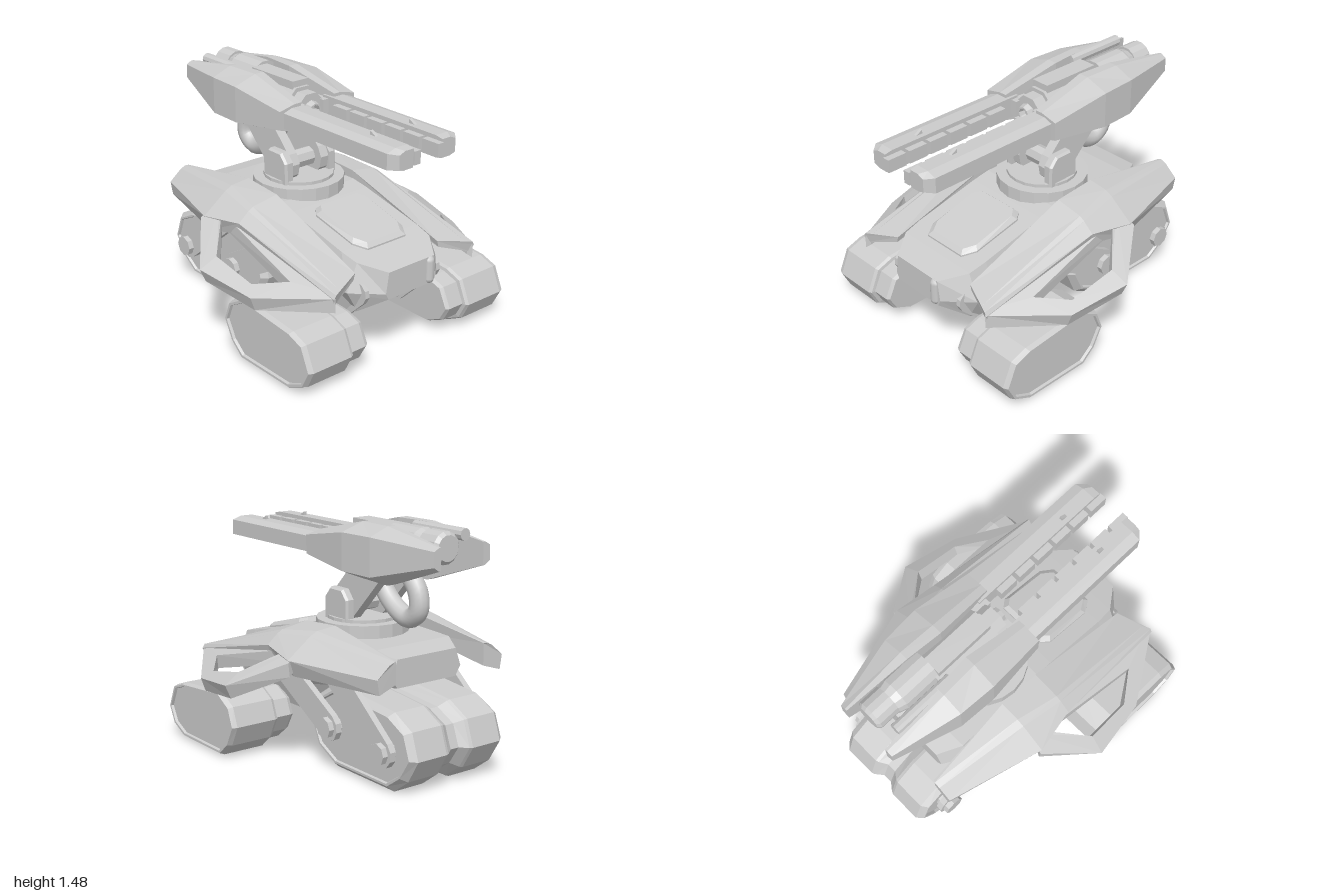
import * as THREE from 'three';

const flat = new THREE.MeshStandardMaterial({ color: 0xcccccc, flatShading: true });
const smooth = new THREE.MeshStandardMaterial({ color: 0xcccccc });
const open = new THREE.MeshStandardMaterial({ color: 0xcccccc, flatShading: true, side: THREE.DoubleSide });

// Reverse the triangle order of a non-indexed geometry
function flip(geo) {
  const p = geo.attributes.position;
  for (let i = 0; i < p.count; i += 3) {
    const a = [p.getX(i), p.getY(i), p.getZ(i)];
    p.setXYZ(i, p.getX(i + 1), p.getY(i + 1), p.getZ(i + 1));
    p.setXYZ(i + 1, ...a);
  }
  geo.computeVertexNormals();
  return geo;
}

// Closed solid through a row of equal-length point loops, turned outward by its signed volume
function loft(sections) {
  const out = [], n = sections[0].length;
  for (let s = 0; s + 1 < sections.length; s++) {
    const A = sections[s], B = sections[s + 1];
    for (let i = 0; i < n; i++) {
      const j = (i + 1) % n;
      out.push(A[i], A[j], B[j], A[i], B[j], B[i]);
    }
  }
  const A = sections[0], B = sections[sections.length - 1];
  for (let i = 1; i + 1 < n; i++) out.push(A[0], A[i + 1], A[i], B[0], B[i], B[i + 1]);
  let volume = 0;
  const v = out.map(p => new THREE.Vector3(...p));
  for (let i = 0; i < v.length; i += 3) volume += v[i].dot(v[i + 1].clone().cross(v[i + 2]));
  const geo = new THREE.BufferGeometry();
  geo.setAttribute('position', new THREE.Float32BufferAttribute(out.flat(), 3));
  geo.computeVertexNormals();
  return volume < 0 ? flip(geo) : geo;
}

// Side profile of [z, y] points, repeated at [x, scale] stations with an even margin
function sideLoft(profile, stations) {
  const zs = profile.map(p => p[0]), ys = profile.map(p => p[1]);
  const cz = (Math.min(...zs) + Math.max(...zs)) / 2, cy = (Math.min(...ys) + Math.max(...ys)) / 2;
  const ratio = (Math.max(...ys) - cy) / (Math.max(...zs) - cz);
  return loft(stations.map(([x, s]) =>
    profile.map(([z, y]) => [x, cy + (y - cy) * s, cz + (z - cz) * (1 - (1 - s) * ratio)])));
}

// Round-ended bar between two [z, y] pivots
function link([z0, y0], [z1, y1], r, x0, x1) {
  const a = Math.atan2(y1 - y0, z1 - z0), pts = [];
  for (const [z, y, start] of [[z0, y0, a + Math.PI / 2], [z1, y1, a - Math.PI / 2]]) {
    for (let i = 0; i <= 5; i++) {
      const t = start + i * Math.PI / 5;
      pts.push([z + r * Math.cos(t), y + r * Math.sin(t)]);
    }
  }
  return sideLoft(pts, [[x0, 1], [x1, 1]]);
}

const hub = (z, y, r, x0, x1) =>
  new THREE.CylinderGeometry(r, r, x1 - x0, 8).rotateZ(Math.PI / 2).translate((x0 + x1) / 2, y, z);
const box = (w, h, d, x, y, z) => new THREE.BoxGeometry(w, h, d).translate(x, y, z);
const rod = (r0, r1, z0, z1, x, y, sides) =>
  new THREE.CylinderGeometry(r1, r0, z1 - z0, sides).rotateX(Math.PI / 2)
    .rotateZ(Math.PI / sides).translate(x, y, (z0 + z1) / 2);
const points = list => list.map(p => new THREE.Vector2(...p));

export function createModel() {
  const model = new THREE.Group();
  model.name = 'trackedGunVehicle';
  const add = (name, geo, mat = flat) => {
    const mesh = new THREE.Mesh(geo, mat);
    mesh.name = name;
    model.add(mesh);
  };
  const pair = (name, geo) => {
    const g = geo.index ? geo.toNonIndexed() : geo;
    add(name + 'Left', g);
    add(name + 'Right', flip(g.clone().scale(-1, 1, 1)));
  };

  // Track pods with a recessed outer face
  const frontProfile = [[.935, .18], [.87, .33], [.76, .37], [.32, .41], [.2, .34], [.155, .22], [.22, .09], [.31, .01], [.76, .01], [.88, .07]];
  pair('frontTrack', sideLoft(frontProfile, [[.32, .78], [.345, .84], [.455, .84], [.46, .95], [.48, 1], [.755, 1], [.787, .94], [.787, .87], [.77, .85]]));
  const rearProfile = [[-.02, .25], [-.06, .4], [-.25, .52], [-.79, .47], [-.94, .39], [-.995, .23], [-.91, .09], [-.79, 0], [-.26, 0], [-.09, .09]];
  pair('rearTrack', sideLoft(rearProfile, [[0, .82], [.03, .82], [.08, .97], [.1, 1], [.31, 1], [.35, .87], [.35, .82], [.335, .8]]));

  // Suspension links and pivots
  pair('forwardRearLink', link([.2, .53], [-.27, .265], .088, .355, .395));
  pair('aftRearLink', link([-.3, .62], [-.77, .24], .088, .355, .395));
  for (const [z, y] of [[.2, .53], [-.27, .265], [-.77, .24]]) pair('rearLinkPivot', hub(z, y, .065, .33, .43));
  pair('frontLink', link([.78, .46], [.5, .19], .07, .27, .3));
  pair('frontLinkPivot', hub(.5, .19, .052, .255, .34));

  // Hull: z, then half width and height of the top, middle and bottom edges
  const hull = [
    [.91, .18, .6, .2, .47, .18, .43],
    [.76, .29, .64, .36, .47, .28, .33],
    [.64, .3, .67, .36, .47, .3, .27],
    [.2, .3, .77, .37, .5, .3, .27],
    [.08, .3, .79, .37, .5, .3, .27],
    [0, .3, .79, .37, .53, .3, .45],
    [-.55, .3, .77, .35, .64, .3, .57],
    [-.7, .22, .74, .26, .63, .22, .57]];
  add('hull', loft(hull.map(([z, a, ya, b, yb, c, yc]) =>
    [[a, ya, z], [b, yb, z], [c, yc, z], [-c, yc, z], [-b, yb, z], [-a, ya, z]])));

  // Raised hatch following the sloping deck
  const hatch = (k, h) => [[.15, .7], [.2, .62], [.2, .3], [.16, .25], [-.16, .25], [-.2, .3], [-.2, .62], [-.15, .7]]
    .map(([x, z]) => [x * k, .82 - .235 * z + h, .475 + (z - .475) * k]);
  add('hatch', loft([hatch(1, -.05), hatch(1, .01), hatch(.88, .035)]));
  add('noseLamp', new THREE.CapsuleGeometry(.033, .11, 3, 10).translate(.15, .515, .9), smooth);

  // Fender beams: inner top, inner ridge, outer ridge, shoulder, outer bottom, inner bottom
  pair('fender', loft([
    [[.33, .6, .79], [.5, .575, .85], [.545, .565, .875], [.56, .54, .875], [.55, .49, .86], [.34, .56, .79]],
    [[.305, .84, .06], [.485, .81, .06], [.52, .79, .06], [.59, .73, .06], [.57, .65, .06], [.31, .73, .06]],
    [[.3, .858, -.22], [.43, .845, -.22], [.48, .82, -.22], [.64, .7, -.22], [.6, .6, -.22], [.31, .73, -.22]],
    [[.33, .775, -.82], [.345, .775, -.83], [.385, .76, -.83], [.47, .69, -.83], [.455, .6, -.83], [.33, .64, -.82]]]));

  // Open outer frame of each fender, laid on a slope
  const frame = new THREE.Shape(points([[.53, .85], [.55, .875], [.82, .46], [.886, .07], [.65, -.24], [.54, -.2]]));
  frame.holes.push(new THREE.Path(points([[.575, -.13], [.78, .09], [.765, .4], [.63, .58]])));
  const frameGeo = new THREE.ExtrudeGeometry(frame, { depth: .085, bevelEnabled: false }).rotateX(Math.PI / 2);
  const fp = frameGeo.attributes.position;
  for (let i = 0; i < fp.count; i++) {
    const x = fp.getX(i), y = fp.getY(i), z = fp.getZ(i);
    fp.setY(i, y + .74 - .62 * (x - .57) - .24 * Math.max(z, 0));
    if (y < -.04) fp.setX(i, x - .12 * Math.max(0, x - .57));
  }
  frameGeo.computeVertexNormals();
  pair('fenderFrame', frameGeo);

  // Turret ring and elevating arms
  add('turretRing', new THREE.CylinderGeometry(.285, .285, .14, 20).translate(0, .785, -.1));
  add('turretDisc', new THREE.CylinderGeometry(.22, .22, .03, 20).translate(0, .86, -.1));
  pair('turretLug', sideLoft([[.02, .84], [.02, .99], [-.03, 1.05], [-.15, 1.05], [-.2, .99], [-.2, .84]], [[.145, 1], [.185, 1], [.2, .9]]));
  pair('turretArm', link([-.1, .95], [-.36, 1.22], .115, .085, .148));
  add('armPivot', hub(-.1, .95, .06, -.1, .1));

  // Looped hose under the gun
  const hose = new THREE.CatmullRomCurve3([[1.2, -.26], [1.06, -.31], [.96, -.42], [.92, -.54], [.98, -.62], [1.09, -.61], [1.19, -.52], [1.27, -.42]]
    .map(([y, z]) => new THREE.Vector3(0, y, z)));
  add('hose', new THREE.TubeGeometry(hose, 32, .06, 12), smooth);

  // Gun pods: z, inner x, outer x, top, bottom
  const pods = [
    [.08, .13, .29, 1.385, 1.215],
    [-.31, .1, .32, 1.475, 1.14],
    [-.55, .12, .305, 1.475, 1.135],
    [-.98, .155, .205, 1.41, 1.28]];
  pair('gunPod', loft(pods.map(([z, a, b, t, u]) => {
    const h = t - u, m = a + (b - a) * .3;
    return [[a, t, z], [m, t, z], [b, t - h * .15, z], [b, u + h * .18, z], [m, u, z], [a, u, z]];
  })));

  // Rail barrels with a chamfered tip and inner blocks
  const rail = (z, k) => [[.11, 1.365], [.2, 1.365], [.26, 1.345], [.26, 1.25], [.2, 1.235], [.11, 1.235]]
    .map(([x, y]) => [.11 + (x - .11) * k, 1.3 + (y - 1.3) * (k + 1) / 2, z]);
  pair('railBarrel', loft([rail(0, 1), rail(.95, 1), rail(1, .7)]));
  for (let i = 0; i < 6; i++) pair('railBlock', box(.045, .08, .125, .09, 1.3, .2 + i * .15));
  pair('railSight', sideLoft([[.77, 1.355], [.71, 1.39], [.71, 1.355]], [[.14, 1], [.16, 1]]));

  // Centre gun body and muzzle
  add('gunBody', rod(.13, .13, -.5, -.06, 0, 1.3, 8));
  add('gunCollar', rod(.105, .105, -.06, .02, 0, 1.3, 8));
  add('gunMuzzle', new THREE.LatheGeometry(points([[.02, -.05], [.035, .05], [.045, .05], [.06, 0], [.06, -.05]]), 8)
    .rotateX(Math.PI / 2).translate(0, 1.3, .01), open);
  add('topCover', box(.12, .08, .4, 0, 1.42, -.28));
  add('lowerCover', box(.2, .06, .38, 0, 1.2, -.15));
  pair('bodyBracket', box(.06, .1, .3, .1, 1.3, -.1));

  // Rear canister and side tube
  add('canisterBase', rod(.115, .115, -.72, -.48, .05, 1.365, 14));
  add('canisterNeck', rod(.095, .112, -.77, -.72, .05, 1.37, 14));
  add('canister', rod(.095, .095, -.9, -.77, .05, 1.385, 14));
  add('canisterCap', rod(.075, .095, -.92, -.9, .05, 1.385, 14));
  add('sideTube', rod(.036, .036, -.87, -.45, -.12, 1.44, 10));

  return model;
}
